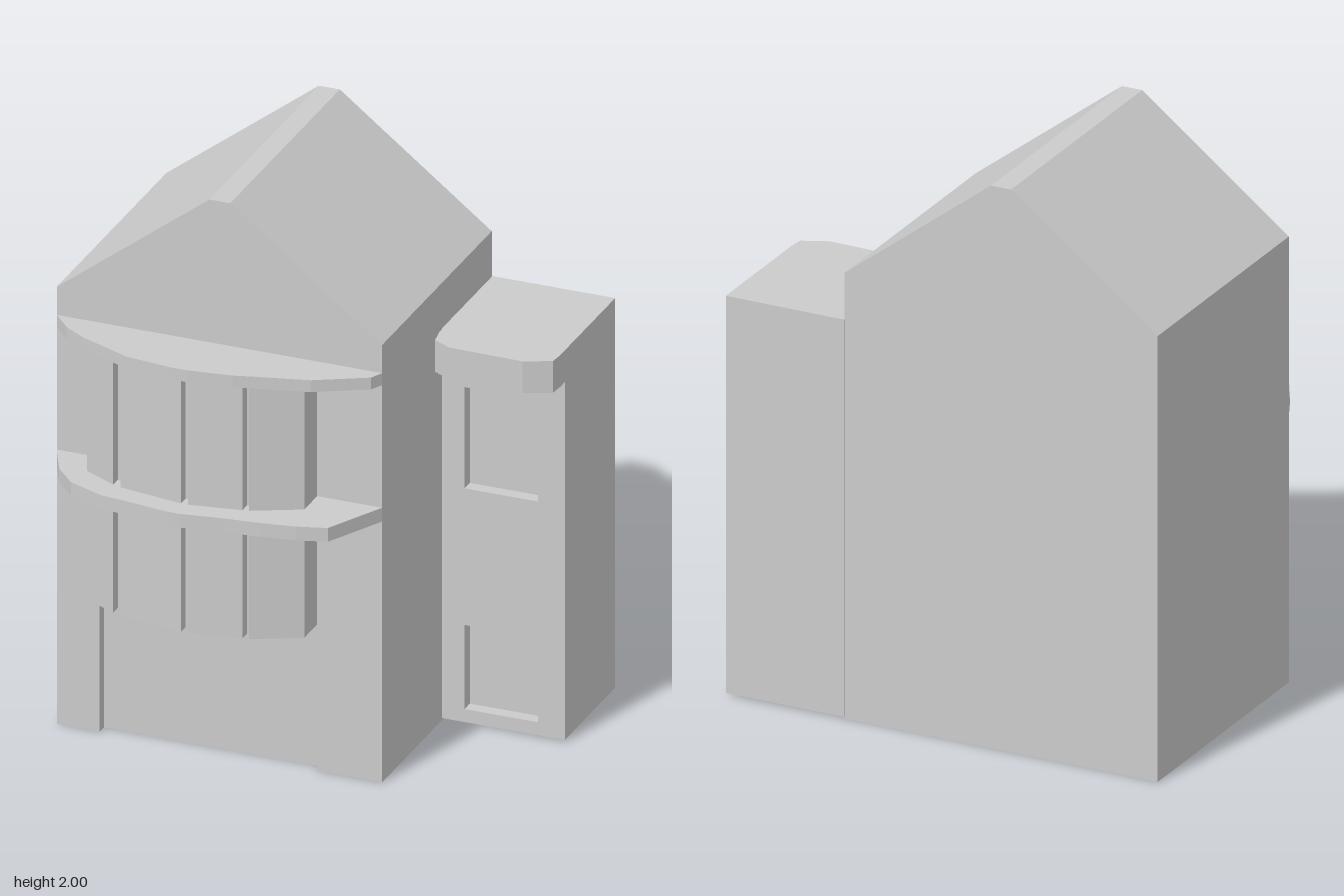
import * as THREE from 'three';

const material = new THREE.MeshStandardMaterial({ color: 0xcccccc });

const toPath = (points, Type = THREE.Shape) =>
  new Type(points.map(([x, y]) => new THREE.Vector2(x, y)));

const rect = (x0, y0, x1, y1) => [[x0, y0], [x1, y0], [x1, y1], [x0, y1]];

function add(group, name, geometry) {
  const mesh = new THREE.Mesh(geometry, material);
  mesh.name = name;
  group.add(mesh);
}

// Elevation outline (x, y) pushed from z0 to z1, with optional openings
function wall(outline, z0, z1, holes = []) {
  const shape = toPath(outline);
  shape.holes = holes.map((h) => toPath(h, THREE.Path));
  return new THREE.ExtrudeGeometry(shape, { depth: z1 - z0, bevelEnabled: false }).translate(0, 0, z0);
}

// Plan outline (x, z) raised from y0 to y1
function slab(plan, y0, y1) {
  const shape = toPath(plan.map(([x, z]) => [x, -z]));
  return new THREE.ExtrudeGeometry(shape, { depth: y1 - y0, bevelEnabled: false })
    .rotateX(-Math.PI / 2).translate(0, y0, 0);
}

export function createModel() {
  const house = new THREE.Group();
  house.name = 'house';

  // Gabled main block; the front layer is notched for the entrance recess
  const gable = [[0.355, 0], [0.355, 1.585], [-0.183, 2], [-0.257, 2], [-0.797, 1.585], [-0.797, 0]];
  const entrance = [[-0.645, 0], [-0.645, 0.465], [0.125, 0.465], [0.125, 0]];
  add(house, 'mainBlock', wall(gable, -0.615, 0.285));
  add(house, 'frontWall', wall([...gable, ...entrance], 0.285, 0.32));

  // Faceted bay: window panels [x0, z0, x1, z1] parted by narrow grooves
  const panels = [
    [-0.645, 0.43, -0.525, 0.495],
    [-0.495, 0.505, -0.265, 0.542],
    [-0.24, 0.542, -0.06, 0.512],
    [-0.038, 0.508, 0.125, 0.43],
  ];
  const bay = [[-0.645, 0.3]];
  panels.forEach(([x0, z0, x1, z1], i) => {
    if (i > 0) bay.push([x0, z0 - 0.04]);
    bay.push([x0, z0], [x1, z1]);
    if (i < panels.length - 1) bay.push([x1, z1 - 0.04]);
  });
  bay.push([0.125, 0.3]);
  add(house, 'bayWindow', slab(bay, 0.53, 1.445));

  // Curved ledges around the bay
  add(house, 'upperLedge', slab([
    [-0.797, 0.31], [-0.797, 0.32], [-0.73, 0.395], [-0.655, 0.443], [-0.465, 0.525], [-0.3, 0.545],
    [-0.24, 0.545], [-0.09, 0.525], [-0.03, 0.508], [0.16, 0.46], [0.335, 0.365], [0.355, 0.32], [0.355, 0.31],
  ], 1.44, 1.483));
  add(house, 'middleLedge', slab([
    [-0.797, 0.31], [-0.797, 0.32], [-0.735, 0.45], [-0.66, 0.53], [-0.53, 0.585], [-0.46, 0.592],
    [-0.285, 0.617], [-0.24, 0.617], [-0.09, 0.593], [0.03, 0.58], [0.15, 0.56], [0.25, 0.53],
    [0.355, 0.32], [0.355, 0.31],
  ], 0.945, 0.995));

  // Side tower with two recessed windows
  const tower = rect(0.355, 0.008, 0.79, 1.42);
  add(house, 'towerCore', wall(tower, -0.62, -0.235));
  add(house, 'towerFront', wall(tower, -0.235, -0.19, [
    rect(0.435, 0.055, 0.695, 0.36),
    rect(0.435, 0.855, 0.695, 1.222),
  ]));

  // Overhanging tower cap with a faceted front
  add(house, 'towerCap', slab([
    [0.358, -0.2], [0.358, -0.16], [0.368, -0.1], [0.43, -0.066], [0.55, -0.063],
    [0.695, -0.06], [0.785, -0.1], [0.79, -0.15], [0.79, -0.2],
  ], 1.305, 1.42));

  return house;
}
